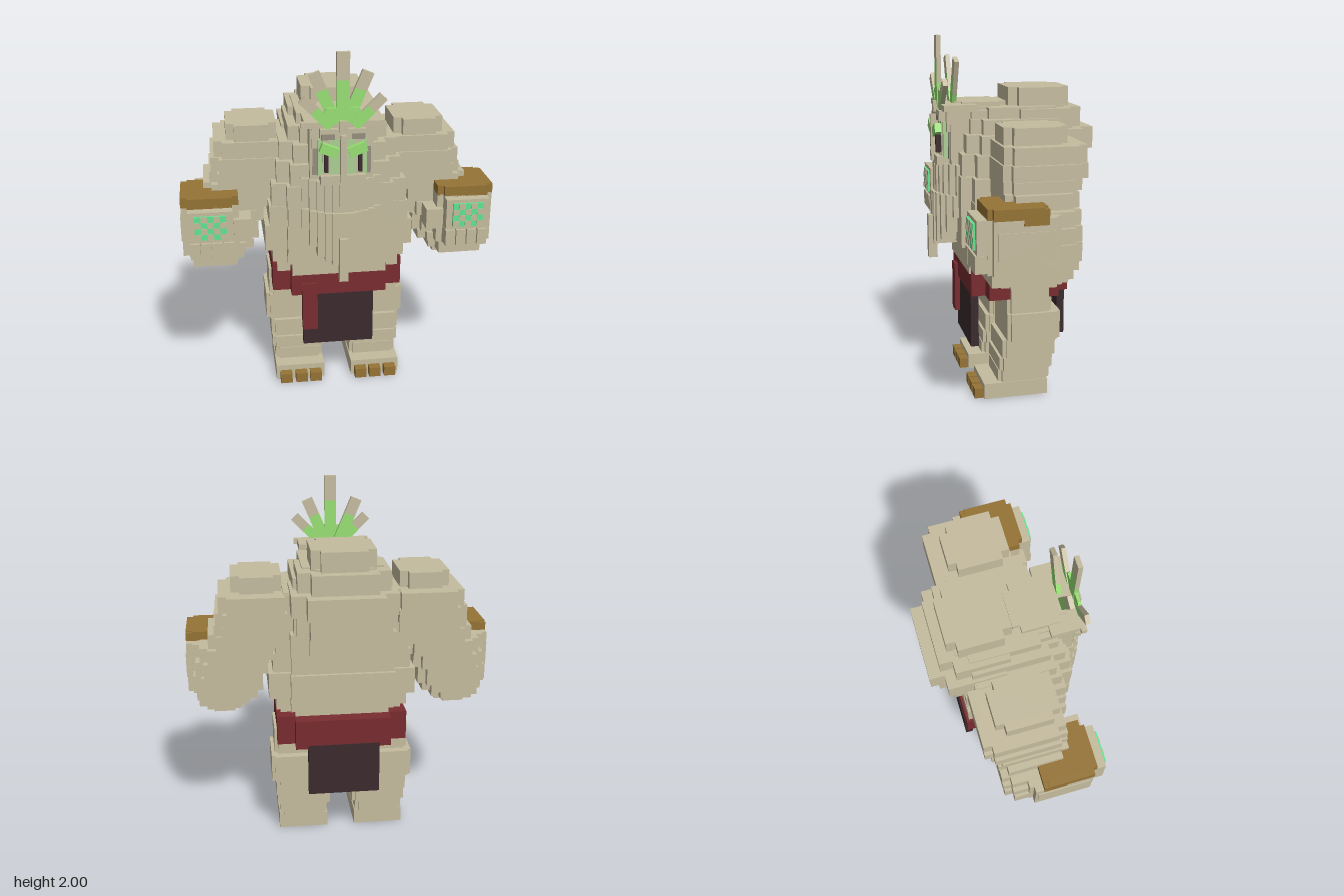
import * as THREE from 'three';

const mat = (name, color) => new THREE.MeshStandardMaterial({ name, color });

export function createModel() {
  const stone = mat('stone', 0xc5bc9f), brown = mat('brown', 0x957335), red = mat('red', 0x792c2f),
    dark = mat('dark cloth', 0x3b2b2d), lime = mat('lime', 0x98e074), mint = mat('mint', 0x60e592),
    pale = mat('pale green', 0xacd094), grey = mat('grey', 0x968f7e);
  const model = new THREE.Group();
  model.name = 'stoneGiant';

  const part = (name, parent = model) => {
    const g = new THREE.Group();
    g.name = name;
    parent.add(g);
    return g;
  };
  // Box given by its limits
  const box = (parent, name, m, x0, x1, y0, y1, z0, z1) => {
    const mesh = new THREE.Mesh(new THREE.BoxGeometry(x1 - x0, y1 - y0, z1 - z0), m);
    mesh.position.set((x0 + x1) / 2, (y0 + y1) / 2, (z0 + z1) / 2);
    mesh.name = name;
    parent.add(mesh);
    return mesh;
  };
  // Upright slab with a square notch cut from each corner
  const slab = (parent, name, m, x0, x1, y0, y1, z0, z1, n = 0.05, nz = n) => {
    const a = -z1, b = -z0;
    const pts = [[x0 + n, a], [x1 - n, a], [x1 - n, a + nz], [x1, a + nz], [x1, b - nz], [x1 - n, b - nz],
      [x1 - n, b], [x0 + n, b], [x0 + n, b - nz], [x0, b - nz], [x0, a + nz], [x0 + n, a + nz]];
    const shape = new THREE.Shape(pts.map(p => new THREE.Vector2(...p)));
    const geo = new THREE.ExtrudeGeometry(shape, { depth: y1 - y0, bevelEnabled: false });
    geo.rotateX(-Math.PI / 2).translate(0, y0, 0);
    const mesh = new THREE.Mesh(geo, m);
    mesh.name = name;
    parent.add(mesh);
  };

  // Torso: half width, y range, z range, notch in x and z
  const torso = part('torso');
  [[0.345, 0.71, 0.79, -0.22, 0.265, 0.08, 0.07],
    [0.37, 0.79, 0.87, -0.25, 0.28, 0.08, 0.05],
    [0.41, 0.87, 1.02, -0.29, 0.31, 0.12, 0.055],
    [0.385, 1.02, 1.13, -0.27, 0.31, 0.10, 0.055],
    [0.37, 1.13, 1.26, -0.29, 0.31, 0.08, 0.06],
    [0.34, 1.26, 1.38, -0.30, 0.30, 0.07, 0.07],
    [0.32, 1.38, 1.48, -0.30, 0.27, 0.07, 0.07],
    [0.27, 1.48, 1.56, -0.30, 0.24, 0.06, 0.06],
    [0.22, 1.56, 1.62, -0.30, 0.20, 0.06, 0.06],
  ].forEach(([w, ...r]) => slab(torso, 'torsoLayer', stone, -w, w, ...r));

  // Back hump
  const hump = part('hump');
  [[0.24, 1.14, 1.26, -0.31, 0, 0.05],
    [0.26, 1.26, 1.38, -0.41, 0, 0.07],
    [0.287, 1.38, 1.50, -0.455, 0.02, 0.08],
    [0.25, 1.50, 1.61, -0.39, 0.04, 0.07],
    [0.175, 1.61, 1.72, -0.335, 0.01, 0.05],
  ].forEach(([w, ...r]) => slab(hump, 'humpLayer', stone, -w, w, ...r));

  // Neck and head
  const head = part('head');
  slab(head, 'neck', stone, -0.19, 0.19, 1.33, 1.605, 0, 0.27, 0.04);
  slab(head, 'crown', stone, -0.14, 0.14, 1.58, 1.645, 0.02, 0.31, 0.04);
  box(head, 'skull', stone, -0.17, 0.17, 1.3, 1.605, 0.2, 0.34);
  box(head, 'headBand', stone, -0.2, 0.2, 1.6, 1.637, 0.2, 0.36);
  box(head, 'headBandFront', stone, -0.22, 0.22, 1.605, 1.637, 0.355, 0.385);
  box(head, 'browRidge', stone, -0.12, 0.12, 1.545, 1.6, 0.3, 0.395);
  box(head, 'bandKnob', stone, -0.022, 0.022, 1.585, 1.645, 0.37, 0.41);
  box(head, 'nose', stone, -0.015, 0.015, 1.31, 1.57, 0.33, 0.425);
  box(head, 'upperLip', stone, -0.12, 0.12, 1.30, 1.35, 0.3, 0.41);
  for (const s of [-1, 1]) {
    box(head, 'cheek', pale, s * 0.04 - 0.027, s * 0.04 + 0.027, 1.34, 1.55, 0.3, 0.385);
    box(head, 'eyeSocket', stone, s * 0.085 - 0.02, s * 0.085 + 0.02, 1.34, 1.55, 0.3, 0.382);
    box(head, 'facePillar', pale, s * 0.117 - 0.013, s * 0.117 + 0.013, 1.34, 1.54, 0.3, 0.375);
    box(head, 'temple', grey, s * 0.142 - 0.013, s * 0.142 + 0.013, 1.34, 1.49, 0.3, 0.35);
    box(head, 'templeTop', stone, s * 0.142 - 0.018, s * 0.142 + 0.018, 1.49, 1.605, 0.3, 0.36);
    box(head, 'browShade', grey, s * 0.08 - 0.035, s * 0.08 + 0.035, 1.545, 1.575, 0.39, 0.399);
    box(head, 'eye', dark, s * 0.09 - 0.01, s * 0.09 + 0.01, 1.37, 1.465, 0.38, 0.412);
    box(head, 'eyebrow', lime, s * 0.075 - 0.048, s * 0.075 + 0.048, 1.466, 1.518, 0.385, 0.42)
      .rotation.z = s * 0.38;
  }

  // Fan crest: base x, base y, length, lean, z, green length, half width
  const crest = part('crest');
  const bare = [stone, stone, stone, stone, lime, lime];
  const spike = (x, y, len, lean, z, green, w) => {
    const g = part('spike', crest);
    g.position.set(x, y, z);
    g.rotation.z = -lean;
    box(g, 'spikeRoot', lime, -w, w, 0, green / 2, -0.0125, 0.0125);
    box(g, 'spikeMiddle', bare, -w, w, green / 2, green, -0.0125, 0.0125);
    box(g, 'spikeTip', stone, -w, w, green, len, -0.0125, 0.0125);
  };
  spike(0, 1.63, 0.37, 0, 0.378, 0.225, 0.034);
  for (const s of [-1, 1]) {
    spike(s * 0.03, 1.61, 0.29, s * 0.4, 0.303, 0.19, 0.032);
    spike(s * 0.06, 1.61, 0.215, s * 0.78, 0.376, 0.125, 0.027);
  }
  // Web joining the spikes at their roots
  const web = new THREE.Shape([[-0.13, 1.63], [0.13, 1.63], [0.085, 1.71], [-0.085, 1.71]]
    .map(p => new THREE.Vector2(...p)));
  const webMesh = new THREE.Mesh(new THREE.ExtrudeGeometry(web, { depth: 0.016, bevelEnabled: false }), lime);
  webMesh.position.z = 0.369;
  webMesh.name = 'crestWeb';
  crest.add(webMesh);

  // Beard of hanging strips curving round the chin
  const beard = part('beard');
  const ends = [0.83, 0.84, 0.86, 0.88, 0.93, 1.02];
  for (let i = -5; i <= 5; i++) {
    const k = Math.abs(i), x = i * 0.039, zf = 0.42 - 0.0036 * k * k;
    box(beard, 'upperStrand', stone, x - 0.0195, x + 0.0195, 1.14, 1.31, 0.25, zf - 0.01);
    box(beard, 'lowerStrand', stone, x - 0.0195, x + 0.0195, ends[k], 1.14, 0.28, zf + 0.008);
  }
  box(beard, 'beardTip', stone, -0.024, 0.024, 0.75, 1.0, 0.4, 0.45);

  // Belt and cloths
  const belt = part('belt');
  slab(belt, 'beltBand', red, -0.37, 0.37, 0.58, 0.75, -0.30, 0.255, 0.10, 0.08);
  box(belt, 'beltTail', red, -0.21, -0.125, 0.365, 0.655, 0.22, 0.275);
  box(belt, 'frontCloth', dark, -0.205, 0.2, 0.255, 0.6, 0.2, 0.245);
  box(belt, 'backCloth', dark, -0.205, 0.2, 0.295, 0.6, -0.305, -0.26);

  for (const s of [-1, 1]) {
    const side = s > 0 ? 'left' : 'right';
    const span = (a, b) => (s > 0 ? [a, b] : [-b, -a]);
    const sBox = (g, n, m, a, b, ...r) => box(g, n, m, ...span(a, b), ...r);
    const sSlab = (g, n, m, a, b, ...r) => slab(g, n, m, ...span(a, b), ...r);

    // Leg, foot and toes
    const leg = part(side + 'Leg');
    [[0.08, 0.385, 0.50, 0.66, -0.18, 0.075],
      [0.05, 0.405, 0.34, 0.50, -0.225, 0.075],
      [0.05, 0.38, 0.235, 0.34, -0.205, 0.10],
      [0.065, 0.375, 0.16, 0.235, -0.19, 0.115],
      [0.085, 0.36, 0.09, 0.16, -0.175, 0.12],
    ].forEach(([a, b, ...r]) => sSlab(leg, 'legLayer', stone, a, b, ...r, 0.02));
    sBox(leg, 'foot', stone, 0.08, 0.365, 0, 0.09, -0.16, 0.205);
    for (const x of [0.1, 0.185, 0.275]) sBox(leg, 'toe', brown, x, x + 0.068, 0, 0.058, 0.2, 0.255);

    // Shoulder and upper arm
    const arm = part(side + 'Arm');
    [[0.325, 0.60, 1.47, 1.56, -0.20, 0.14],
      [0.27, 0.67, 1.38, 1.47, -0.285, 0.155],
      [0.26, 0.69, 1.30, 1.38, -0.285, 0.165],
      [0.27, 0.70, 1.24, 1.30, -0.25, 0.165],
      [0.31, 0.735, 1.16, 1.24, -0.225, 0.165],
      [0.36, 0.785, 1.08, 1.16, -0.22, 0.16],
      [0.41, 0.81, 1.00, 1.08, -0.22, 0.17],
      [0.44, 0.825, 0.90, 1.00, -0.215, 0.18],
      [0.47, 0.81, 0.85, 0.90, -0.205, 0.20],
      [0.53, 0.80, 0.80, 0.85, -0.18, 0.22],
    ].forEach(([a, b, ...r]) => sSlab(arm, 'armLayer', stone, a, b, ...r, 0.045));
    sSlab(arm, 'elbowPad', stone, 0.56, 0.76, 0.765, 0.80, -0.13, 0.19, 0.04);

    // Forearm, cuff and fist
    const hand = part(side + 'Hand');
    sSlab(hand, 'forearm', stone, 0.55, 0.86, 0.87, 1.155, -0.09, 0.285, 0.035, 0.025);
    sBox(hand, 'forearmSide', stone, 0.8, 0.866, 0.95, 1.09, -0.05, 0.24);
    sSlab(hand, 'cuff', brown, 0.55, 0.862, 1.15, 1.207, -0.02, 0.285, 0.035, 0.025);
    sBox(hand, 'cuffBack', brown, 0.74, 0.862, 1.12, 1.2, -0.02, 0.11);
    sBox(hand, 'knuckles', stone, 0.585, 0.825, 0.975, 1.15, 0.25, 0.338);
    sBox(hand, 'thumb', stone, 0.485, 0.58, 0.965, 1.08, 0.16, 0.29);
    sBox(hand, 'palm', stone, 0.57, 0.81, 0.80, 0.88, 0.1, 0.26);
    for (let i = 0; i < 4; i++) {
      const x = 0.585 + i * 0.06;
      sBox(hand, 'finger', stone, x, x + 0.054, 0.88, 0.972, 0.24, 0.347);
    }

    // Chequered plate on the knuckles
    sBox(hand, 'plate', mint, 0.62, 0.79, 0.995, 1.13, 0.33, 0.35);
    for (let i = 0; i < 5; i++) for (let j = 0; j < 4; j++) {
      if ((i + j) % 2) continue;
      const x = 0.62 + i * 0.034, y = 0.995 + j * 0.03375;
      sBox(hand, 'plateTile', stone, x, x + 0.034, y, y + 0.03375, 0.349, 0.353);
    }
  }
  return model;
}
